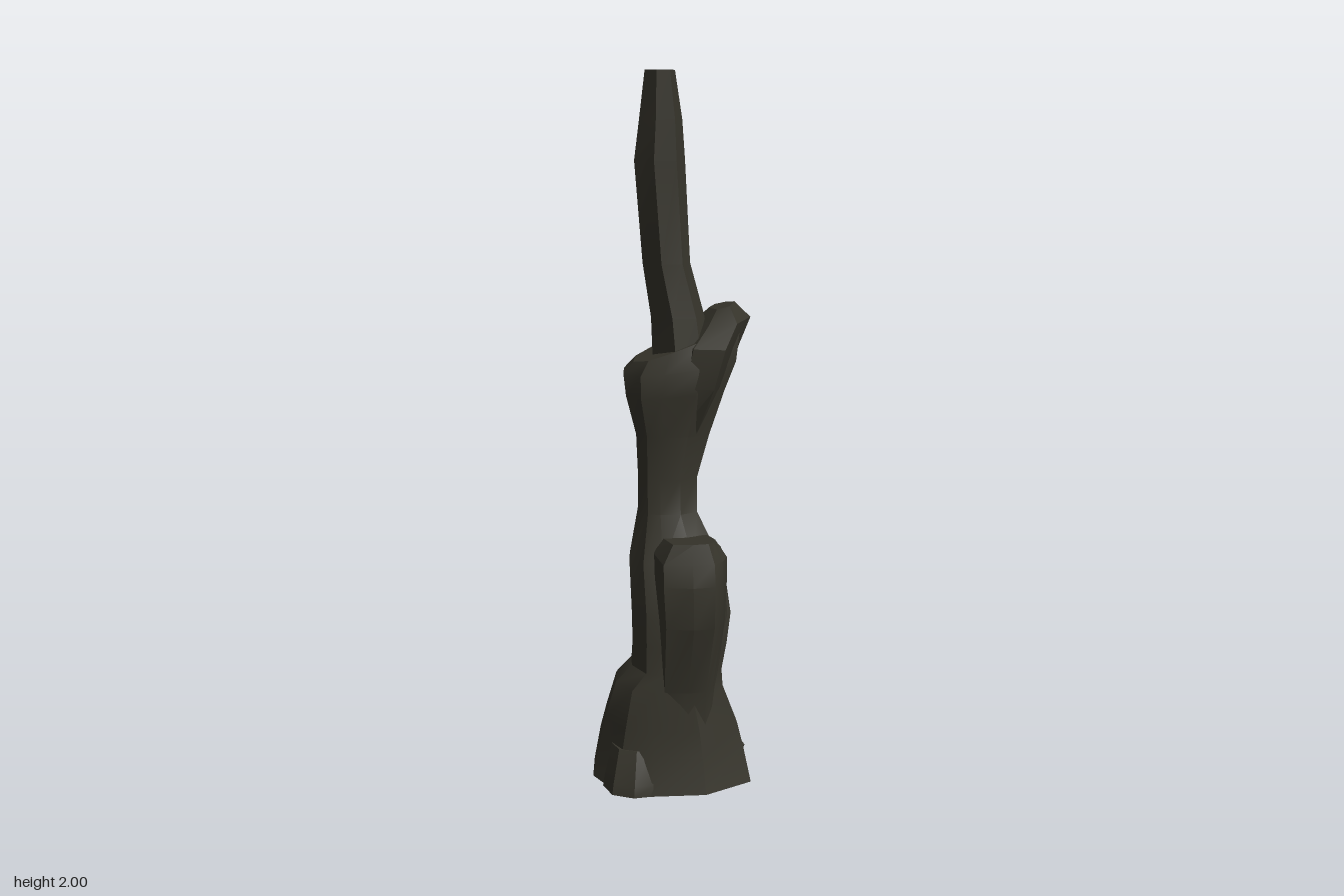
import * as THREE from 'three';
import { toCreasedNormals } from 'three/addons/utils/BufferGeometryUtils.js';

// Irregular rock outlines as unit (x, z) corners, counter-clockwise from above
const BROAD = [[1, -0.15], [0.66, -0.6], [0.25, -1], [-0.38, -1], [-0.87, -0.62],
  [-1, 0], [-0.8, 0.64], [-0.4, 0.88], [0.3, 1], [0.97, 0.72]];
const CHUNK = [[1, -0.3], [0.6, -1], [-0.6, -1], [-1, -0.3], [-0.85, 0.55], [-0.2, 1], [0.45, 1], [1, 0.4]];
const FRONT = [[1, -1], [-1, -1], [-1, 0.75], [-0.2, 1], [0.45, 1], [0.75, 0.75], [1, 0.3]];
const BACK = FRONT.map(([u, v]) => [-u, -v]);
const WEDGE = [[1, 0.1], [0.5, -0.6], [-0.3, -1], [-1, -0.6], [-0.8, 0.7], [0.2, 1]];
const SHARD = [[1, 0.3], [0.9, -0.97], [-0.45, -1], [-1, 0.1], [-0.4, 1], [0.5, 1]];

// Skin of rings: [y, xMin, xMax, zMin, zMax, tilt along x, tilt along z]
function loft(outline, rings, crease) {
  const loops = rings.map(([y, x0, x1, z0, z1, tx = 0, tz = 0]) => outline.map(([u, v]) =>
    [(x0 + x1) / 2 + u * (x1 - x0) / 2, y + u * tx + v * tz, (z0 + z1) / 2 + v * (z1 - z0) / 2]));
  const middle = ([y, x0, x1, z0, z1]) => [(x0 + x1) / 2, y, (z0 + z1) / 2];
  const bottom = middle(rings[0]), top = middle(rings[rings.length - 1]);
  const last = loops[loops.length - 1], n = outline.length, p = [];
  for (let i = 0; i < n; i++) {
    const j = (i + 1) % n;
    for (let k = 0; k + 1 < loops.length; k++) {
      const a = loops[k][i], b = loops[k][j], c = loops[k + 1][j], d = loops[k + 1][i];
      p.push(...a, ...b, ...c, ...a, ...c, ...d);
    }
    p.push(...bottom, ...loops[0][j], ...loops[0][i], ...top, ...last[i], ...last[j]);
  }
  const g = new THREE.BufferGeometry();
  g.setAttribute('position', new THREE.Float32BufferAttribute(p, 3));
  return toCreasedNormals(g, crease);
}

export function createModel() {
  const group = new THREE.Group();
  const stone = new THREE.MeshStandardMaterial({ color: 0x36342b });
  stone.name = 'darkStone';
  const add = (name, outline, rings, crease = 0.4) => {
    const mesh = new THREE.Mesh(loft(outline, rings, crease), stone);
    mesh.name = name;
    group.add(mesh);
  };

  // Hollowed flaring foot, waist and the cup-shaped collar
  add('trunk', BROAD, [
    [0.05, -0.13, 0.11, -0.12, 0.1],
    [0, -0.235, 0.205, -0.22, 0.19],
    [0.1, -0.213, 0.187, -0.215, 0.165],
    [0.18, -0.197, 0.167, -0.18, 0.155],
    [0.29, -0.17, 0.125, -0.13, 0.14],
    [0.34, -0.125, 0.12, -0.11, 0.14],
    [0.42, -0.125, 0.135, -0.08, 0.135],
    [0.5, -0.125, 0.147, -0.09, 0.13],
    [0.65, -0.125, 0.125, -0.12, 0.1],
    [0.78, -0.09, 0.07, -0.13, 0.035],
    [0.88, -0.09, 0.07, -0.13, 0.03],
    [1.0, -0.095, 0.105, -0.13, 0.03],
    [1.12, -0.122, 0.145, -0.175, 0.06, 0.01],
    [1.19, -0.125, 0.18, -0.215, 0.06, 0.02],
    [1.26, -0.1, 0.195, -0.16, 0.04, 0.055],
  ], 0.5);

  // Ledge bulging out of the front, rising from the foot
  add('frontLedge', FRONT, [
    [0.18, -0.05, 0.1, 0, 0.145],
    [0.29, -0.055, 0.105, 0, 0.145],
    [0.5, -0.065, 0.115, 0, 0.218],
    [0.62, -0.072, 0.12, 0, 0.22],
    [0.68, -0.07, 0.12, 0.02, 0.205],
    [0.725, -0.04, 0.09, 0.01, 0.19, 0, 0.01],
  ]);

  // Shoulder beside the front ledge
  add('sideShoulder', CHUNK, [
    [0.3, 0, 0.115, -0.02, 0.12],
    [0.5, 0.02, 0.148, -0.03, 0.13],
    [0.69, 0.02, 0.122, -0.02, 0.11],
    [0.72, 0.02, 0.08, 0, 0.08],
  ]);

  // Ledge bulging out of the back
  add('backLedge', BACK, [
    [0.42, -0.04, 0.06, -0.08, 0],
    [0.66, -0.07, 0.085, -0.16, -0.02],
    [0.81, -0.07, 0.07, -0.188, -0.03, 0.015],
    [0.865, -0.05, 0.05, -0.14, -0.03, 0.01, 0.01],
  ]);

  // High pointed lip of the collar
  add('collarLip', WEDGE, [
    [1.0, 0, 0.1, -0.1, 0.02],
    [1.14, 0.01, 0.155, -0.13, 0.08],
    [1.25, 0.03, 0.195, -0.14, 0.08],
    [1.315, 0.08, 0.232, -0.13, 0.045, 0.01],
    [1.36, 0.12, 0.185, -0.09, 0.01, 0.01],
  ]);

  // Roots poking out of the foot on opposite corners
  add('backRoot', CHUNK, [
    [0, 0.03, 0.215, -0.16, 0],
    [0.035, 0.03, 0.232, -0.165, 0],
    [0.1, 0.03, 0.155, -0.13, 0],
  ]);
  add('frontRoot', CHUNK, [
    [0, -0.22, -0.05, 0, 0.165],
    [0.03, -0.215, -0.05, 0, 0.16],
    [0.12, -0.19, -0.05, 0, 0.12],
  ]);

  // Tall slanting spire
  add('spire', SHARD, [
    [1.18, -0.045, 0.12, -0.15, 0.03],
    [1.33, -0.05, 0.1, -0.14, 0.015],
    [1.48, -0.072, 0.06, -0.135, 0],
    [1.76, -0.095, 0.045, -0.133, 0],
    [1.87, -0.083, 0.035, -0.11, 0],
    [2, -0.07, 0.012, -0.08, 0],
  ]);

  return group;
}
